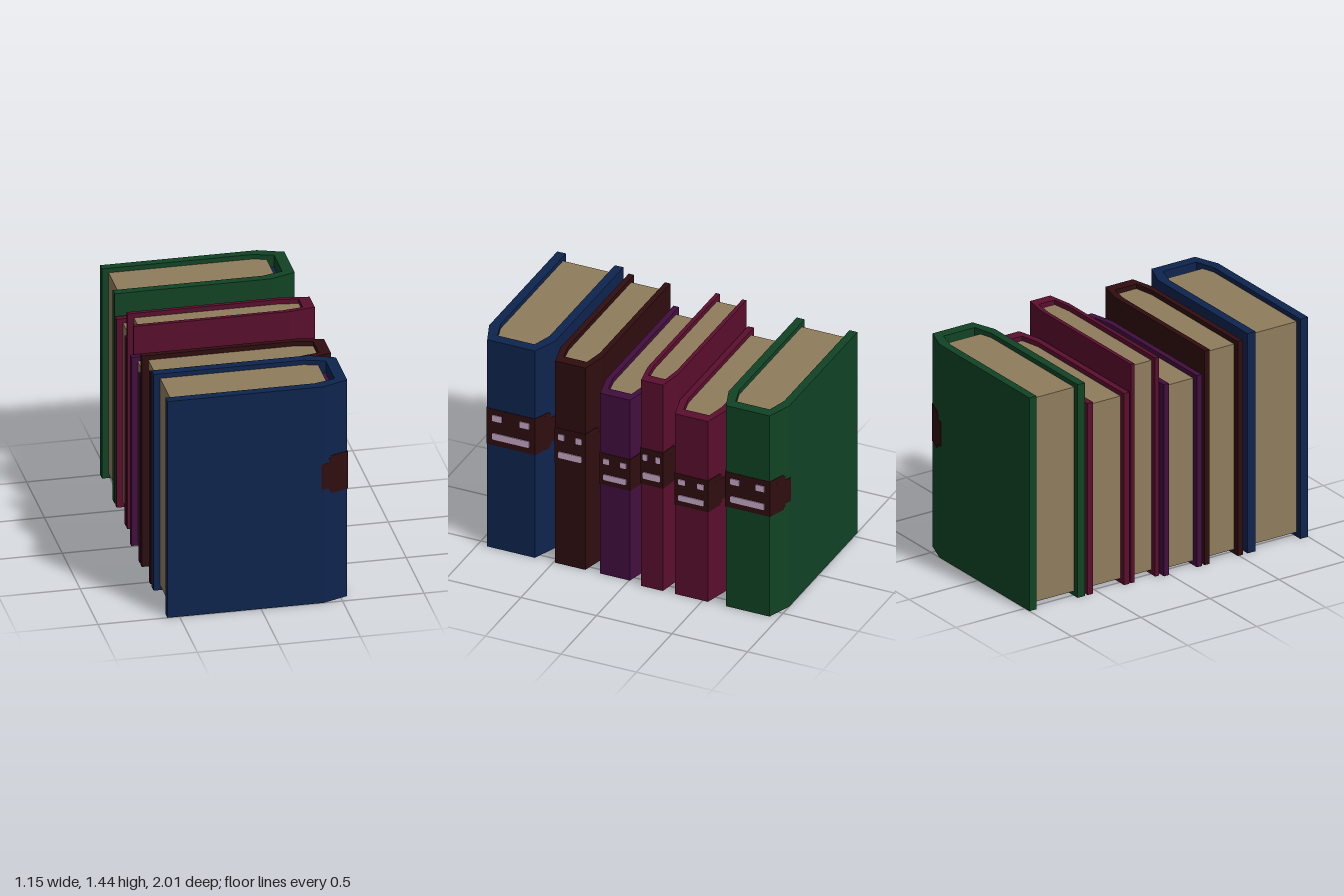
import * as THREE from 'three';

const mat = (name, color) => {
  const m = new THREE.MeshStandardMaterial({ color });
  m.name = name;
  return m;
};

// Cross-section half width z(x) tapers from w/2 at x = X1 down to the flat spine at x = X2
const X0 = -0.575, X1 = 0.385, X2 = 0.542;

// Extrude a plan outline of [x, z] points upward from y0 to y1
function prism(points, y0, y1) {
  const shape = new THREE.Shape(points.map(([x, z]) => new THREE.Vector2(x, z)));
  const g = new THREE.ExtrudeGeometry(shape, { depth: y1 - y0, bevelEnabled: false });
  g.rotateX(-Math.PI / 2);
  g.translate(0, y0, 0);
  return g;
}

// Close a half outline by mirroring it across z = 0
const mirrored = (half) => [...half, ...half.slice().reverse().map(([x, z]) => [x, -z])];

// Thin plate with slightly cut corners, facing +x
function plate(width, height, cut) {
  const a = width / 2, b = height / 2;
  const s = new THREE.Shape([
    [-a + cut, -b], [a - cut, -b], [a, -b + cut], [a, b - cut],
    [a - cut, b], [-a + cut, b], [-a, b - cut], [-a, -b + cut],
  ].map(([x, y]) => new THREE.Vector2(x, y)));
  const g = new THREE.ExtrudeGeometry(s, { depth: 0.005, bevelEnabled: false });
  g.rotateY(Math.PI / 2);
  return g;
}

function makeBook({ z0, z1, h, dx, cover, lining }, m) {
  const book = new THREE.Group();
  book.name = 'book';
  const add = (name, geometry, material, x = 0, y = 0, z = 0) => {
    const mesh = new THREE.Mesh(geometry, material);
    mesh.name = name;
    mesh.position.set(x, y, z);
    book.add(mesh);
  };
  const w = z1 - z0, half = w / 2, t = w * 0.13, taper = w * 0.14;
  const innerX1 = 0.345, innerX2 = 0.472, innerTaper = w * 0.09;
  const innerZ = (x) => half - t - innerTaper * Math.max(0, (x - innerX1) / (innerX2 - innerX1));

  // Wrap-around cover, open at the fore edge
  const outer = [[X0, half], [X1, half], [X2, half - taper]];
  const inner = [[X0, half - t], [innerX1, half - t], [innerX2, innerZ(innerX2)]];
  const flip = ([x, z]) => [x, -z];
  add('cover', prism([
    ...outer, ...outer.map(flip).reverse(),
    ...inner.map(flip), ...inner.slice().reverse(),
  ], 0, h), cover);

  // Page block, set in from the cover edges
  const pageEnd = lining ? 0.43 : innerX2;
  add('pages', prism(mirrored([
    [X0 + 0.04, half - t], [innerX1, half - t], [pageEnd, innerZ(pageEnd)],
  ]), 0.03, h - 0.03), m.paper);

  // Coloured lining between the pages and the spine
  if (lining) {
    add('spineLining', prism(mirrored([
      [pageEnd, innerZ(pageEnd)], [innerX2, innerZ(innerX2)],
    ]), 0.03, h - 0.08), lining);
  }

  // Band around the spine, stepped to a tab at its ends
  const e = 0.003;
  for (const [xc, lo, hi] of [[0.37, 0.524, 0.641], [0.42, 0.508, 0.662], [0.432, 0.498, 0.672]]) {
    const k = Math.max(0, (xc - X1) / (X2 - X1));
    const pts = [[xc, half - taper * k + e]];
    if (xc < X1) pts.push([X1, half + e]);
    pts.push([X2 + e, half - taper + e]);
    add('spineBand', prism(mirrored(pts), lo * h, hi * h), m.band);
  }

  // Face on the spine: two eyes and a straight mouth
  const fx = X2 + e;
  for (const s of [-1, 1]) {
    add('eye', plate(w * 0.146, h * 0.029, 0.004), m.pale, fx, h * 0.63, s * w * 0.207);
  }
  add('mouth', plate(w * 0.56, h * 0.031, 0.006), m.pale, fx, h * 0.542, 0);

  book.position.set(dx, 0, (z0 + z1) / 2);
  return book;
}

export function createModel() {
  const m = {
    blue: mat('navy blue', 0x0e244e),
    band: mat('dark brown', 0x2f0d0f),
    purple: mat('deep purple', 0x420e3e),
    red: mat('crimson', 0x5a0e2d),
    green: mat('forest green', 0x104324),
    paper: mat('paper tan', 0x8f7c5c),
    pale: mat('pale lilac', 0xc8a9c8),
  };
  const books = [
    { z0: 0.562, z1: 1, h: 1.44, dx: 0, cover: m.blue, lining: m.purple },
    { z0: 0.251, z1: 0.527, h: 1.405, dx: 0, cover: m.band },
    { z0: -0.044, z1: 0.23, h: 1.256, dx: 0, cover: m.purple, lining: m.red },
    { z0: -0.265, z1: -0.063, h: 1.433, dx: 0.027, cover: m.red },
    { z0: -0.578, z1: -0.275, h: 1.255, dx: 0.027, cover: m.red },
    { z0: -1, z1: -0.598, h: 1.397, dx: 0.027, cover: m.green, lining: m.blue },
  ];
  const group = new THREE.Group();
  group.name = 'bookRow';
  for (const b of books) group.add(makeBook(b, m));
  return group;
}
